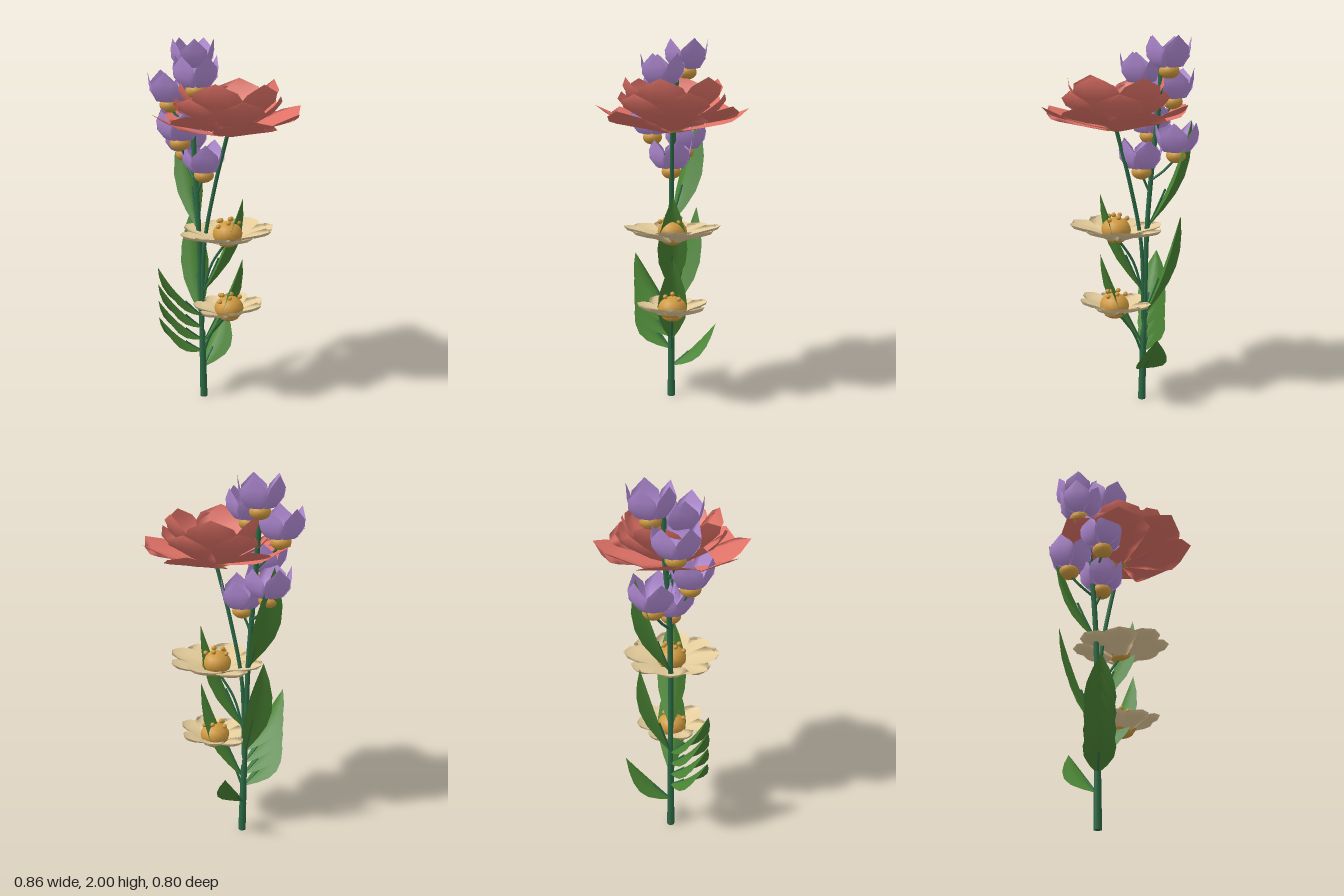
import * as THREE from 'three';

const material = (name, color, double) => {
  const m = new THREE.MeshStandardMaterial({ color });
  m.name = name;
  if (double) m.side = THREE.DoubleSide;
  return m;
};
const V = (x, y, z) => new THREE.Vector3(x, y, z);

// Surface lofted through rows of points of equal length
function loft(rows) {
  const n = rows[0].length, index = [];
  for (let i = 0; i < rows.length - 1; i++) {
    for (let j = 0; j < n - 1; j++) {
      const a = i * n + j, b = a + n;
      index.push(a, b, a + 1, a + 1, b, b + 1);
    }
  }
  const g = new THREE.BufferGeometry().setFromPoints(rows.flat());
  g.setIndex(index);
  g.computeVertexNormals();
  return g;
}

// Thin solid petal along +x; each profile entry is [radius, height, halfWidth, edgeLift]
function petalGeometry(profile) {
  const across = [1, 0.5, 0, -0.5, -1, -0.5, 0, 0.5, 1];
  return loft(profile.map(([r, y, w, lift]) => across.map((s, j) => {
    const under = j > 4 && j < 8 && w > 0 ? 0.007 : 0;
    return V(r - lift * s * s * 0.5 + under * 0.5, y + lift * s * s - under, w * s);
  })));
}

// Leaf from base to tip, arched by bow, its edges drooping from the midrib
function leafGeometry(base, tip, width, bow) {
  const dir = tip.clone().sub(base).normalize();
  const side = V(0, 1, 0).cross(dir).normalize();
  const out = dir.clone().cross(side).normalize();
  if (out.y > 0) out.negate();
  const shape = [0.08, 0.55, 0.9, 1, 0.85, 0.5, 0];
  return loft(shape.map((w, i) => {
    const t = i / (shape.length - 1);
    const c = base.clone().lerp(tip, t).addScaledVector(out, bow * Math.sin(Math.PI * t));
    return [-1, -0.5, 0, 0.5, 1].map((s) =>
      c.clone().addScaledVector(side, s * w * width / 2).addScaledVector(out, Math.abs(s) * w * width * 0.25));
  }));
}

export function createModel() {
  const model = new THREE.Group();
  model.name = 'flowerBouquet';
  const red = material('coral petal', 0xe07267, true);
  const purple = material('lilac petal', 0xb48dd7, true);
  const cream = material('cream petal', 0xe4cc9b, true);
  const gold = material('golden centre', 0xd09a40);
  const green = material('leaf green', 0x4a8434, true);
  const stemGreen = material('stem green', 0x2c6a45);

  const add = (parent, name, geometry, mat) => {
    const mesh = new THREE.Mesh(geometry, mat);
    mesh.name = name;
    parent.add(mesh);
    return mesh;
  };
  const flower = (name, x, y, z) => {
    const g = new THREE.Group();
    g.name = name;
    g.position.set(x, y, z);
    model.add(g);
    return g;
  };
  // Petals around the y axis, with a repeating list of height steps so they overlap
  const ring = (parent, name, count, profile, mat, turn = 0, steps = [0]) => {
    const geo = petalGeometry(profile);
    for (let i = 0; i < count; i++) {
      const petal = add(parent, name, geo, mat);
      petal.rotation.y = turn + (i / count) * Math.PI * 2;
      petal.position.y = steps[i % steps.length];
    }
  };

  // Squashed golden ball
  const ball = (parent, name, radius, height, y) => {
    const mesh = add(parent, name, new THREE.SphereGeometry(radius, 14, 10), gold);
    mesh.scale.y = height / radius;
    mesh.position.y = y;
  };

  // Golden dome dotted with little seeds
  const centre = (parent, y, height, seeds, stalk) => {
    ball(parent, 'centre', 0.08, height, y);
    const seed = new THREE.IcosahedronGeometry(0.013, 1);
    for (let i = 0; i < seeds; i++) {
      const a = i * 2.4, r = 0.07 * Math.sqrt((i + 0.5) / seeds);
      const top = y + height * Math.sqrt(1 - (r / 0.08) ** 2);
      add(parent, 'seed', seed, gold).position.set(r * Math.cos(a), top + stalk, r * Math.sin(a));
    }
  };

  // Stems
  const stem = (name, points, radius) => add(model, name,
    new THREE.TubeGeometry(new THREE.CatmullRomCurve3(points), 20, radius, 8), stemGreen);
  stem('mainStem', [V(-0.14, 0.2, 0), V(-0.15, 0.6, 0), V(-0.16, 1.0, 0), V(-0.19, 1.4, -0.01),
    V(-0.215, 1.7, -0.03), V(-0.22, 1.91, -0.03)], 0.014);
  const foot = add(model, 'stemFoot', new THREE.CylinderGeometry(0.017, 0.021, 0.4, 10), stemGreen);
  foot.position.set(-0.138, 0.2, 0);
  foot.rotation.z = 0.02;
  stem('coralStem', [V(-0.14, 0.45, 0), V(-0.125, 0.9, 0), V(-0.06, 1.23, 0), V(0.02, 1.53, 0)], 0.011);
  stem('upperCreamStem', [V(-0.14, 0.6, 0), V(-0.08, 0.8, 0), V(0.02, 0.95, 0)], 0.007);
  stem('lowerCreamStem', [V(-0.14, 0.25, 0), V(-0.08, 0.4, 0), V(0.02, 0.53, 0)], 0.007);

  // Leaves: base, tip, width, arch
  const leaf = (b, t, width, bow) => {
    const base = V(...b), tip = V(...t);
    add(model, 'leaf', leafGeometry(base, tip, width, bow), green);
    const rib = [0, 0.2, 0.4].map((f) => base.clone().lerp(tip, f).add(V(0, -bow * Math.sin(Math.PI * f) - 0.005, 0)));
    stem('leafStalk', rib, 0.006);
  };
  leaf([-0.13, 0.64, 0], [0.11, 1.19, 0], 0.16, 0.01);
  leaf([-0.13, 0.34, 0], [0.11, 0.86, 0], 0.16, 0.01);
  leaf([-0.14, 0.18, 0], [-0.12, 0.43, -0.25], 0.17, 0.01);
  leaf([-0.17, 1.0, 0], [-0.34, 1.57, -0.16], 0.16, 0.02);
  leaf([-0.15, 0.5, 0], [-0.29, 1.07, -0.15], 0.16, 0.01);
  for (let i = 0; i < 4; i++) {
    leaf([-0.14, 0.28 + i * 0.07, 0], [-0.3, 0.52 + i * 0.095, 0.2], 0.16, 0.02);
  }

  // Large coral flower
  const coral = flower('coralFlower', 0.02, 1.53, 0);
  ring(coral, 'outerPetal', 8, [[0.03, 0, 0.03, 0], [0.14, 0.025, 0.09, -0.005], [0.25, 0.055, 0.15, -0.01],
    [0.29, 0.068, 0.165, -0.01], [0.34, 0.09, 0.125, -0.005], [0.4, 0.118, 0, 0]], red, 0,
  [0, 0.011, -0.009, 0.011, 0, -0.011, 0.009, -0.011]);
  ring(coral, 'middlePetal', 6, [[0.03, 0.01, 0.03, 0], [0.14, 0.055, 0.09, 0.01], [0.23, 0.11, 0.13, 0.01],
    [0.265, 0.155, 0.1, 0], [0.275, 0.19, 0, 0]], red, 0.25, [0.004, -0.004]);
  ring(coral, 'innerPetal', 6, [[0.03, 0.015, 0.03, 0], [0.13, 0.075, 0.085, 0.01], [0.21, 0.16, 0.135, 0.01],
    [0.238, 0.22, 0.11, 0], [0.248, 0.265, 0, 0]], red, 0.77, [0.004, -0.004]);
  centre(coral, 0.05, 0.05, 13, 0.002);
  ball(coral, 'flowerBase', 0.068, 0.03, 0.012);

  // Two flat cream flowers
  for (const [name, x, y, size, count, tilt] of [
    ['upperCreamFlower', 0.02, 0.97, 1, 8, 0.05], ['lowerCreamFlower', 0.03, 0.55, 0.76, 7, 0.07]]) {
    const f = flower(name, x, y, 0);
    f.rotation.z = tilt;
    ring(f, 'creamPetal', count, [[0.03, -0.03, 0.03, 0], [0.11, 0, 0.07, 0.01], [0.19, 0.018, 0.095, 0.015],
      [0.235, 0.031, 0.07, 0.01], [0.26, 0.045, 0, 0]].map(([r, h, w, l]) => [r * size, h, w * size, l]), cream,
    0, [0.005, -0.005]);
    centre(f, 0.018, 0.066, 7, 0.016);
    ball(f, 'flowerBase', 0.06, 0.036, -0.02);
  }

  // Cluster of lilac tulip-like blossoms
  const blossoms = [[-0.24, 1.81, -0.09], [-0.14, 1.73, 0.05], [-0.315, 1.645, 0.03],
    [-0.21, 1.46, 0.1], [-0.29, 1.37, -0.08], [-0.125, 1.28, 0]];
  blossoms.forEach(([x, y, z], i) => {
    const f = flower('lilacBlossom', x, y, z);
    ball(f, 'blossomBase', 0.054, 0.04, 0.012);
    ring(f, 'lilacPetal', 5, [[0.032, 0.035, 0.026, 0], [0.066, 0.042, 0.052, 0], [0.09, 0.085, 0.074, 0],
      [0.102, 0.13, 0.066, 0], [0.113, 0.19, 0, 0]], purple, 0.3 + i * 0.5);
    if (i) stem('blossomStalk', [V(-0.185 - (y - 1.4) * 0.08, y - 0.12, -0.01),
      V((x - 0.19) / 2, y - 0.07, z / 2), V(x, y, z)], 0.007);
  });

  return model;
}
